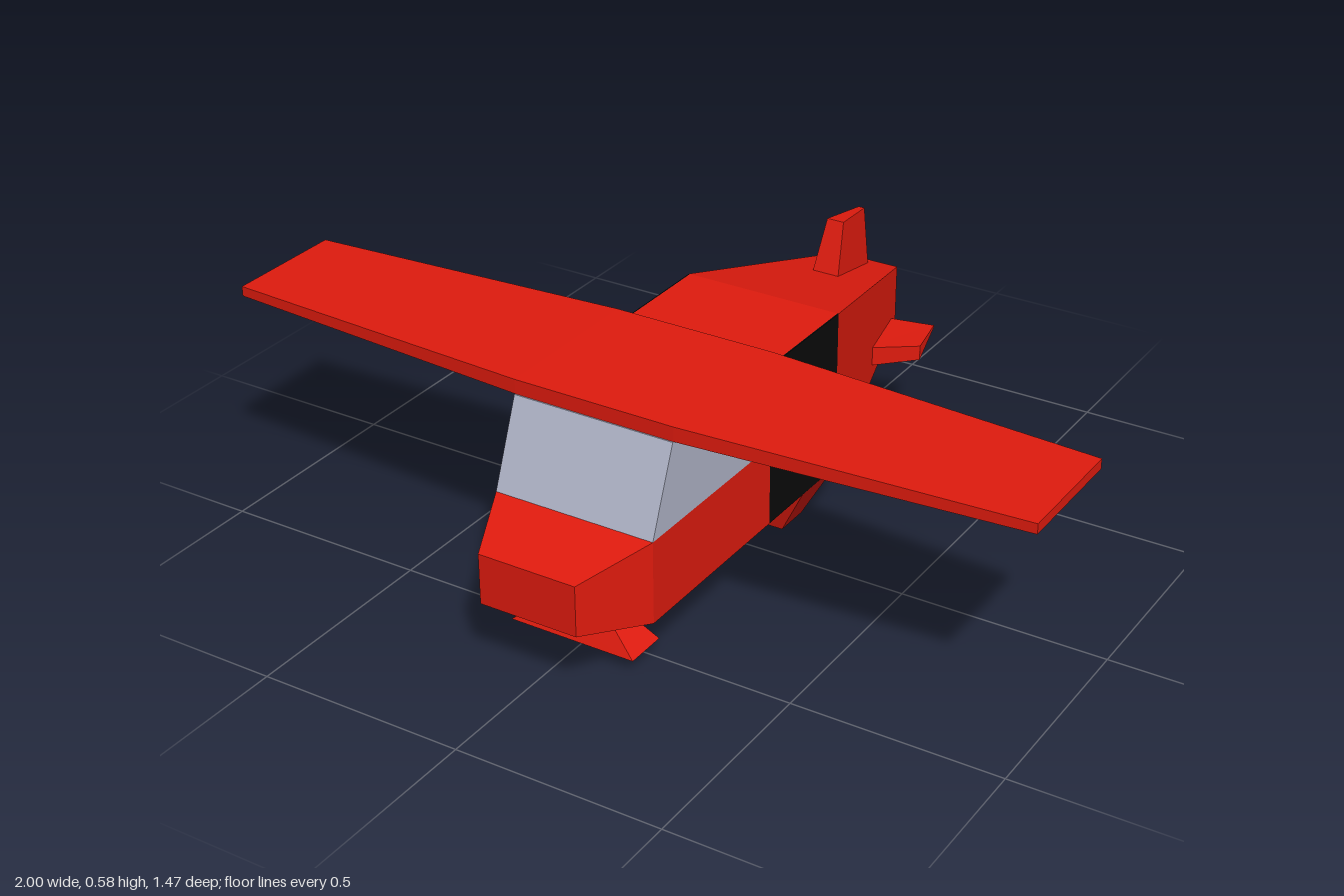
import * as THREE from 'three';

const red = new THREE.MeshStandardMaterial({ color: 0xe01b0e, flatShading: true });
const glass = new THREE.MeshStandardMaterial({ color: 0xb0b4c8, flatShading: true });
const black = new THREE.MeshStandardMaterial({ color: 0x0a0a0a, flatShading: true });

// Four corners of a rectangle, counterclockwise seen from +z, +y or +x.
const zRect = (z, x, y0, y1) => [[-x, y0, z], [x, y0, z], [x, y1, z], [-x, y1, z]];
const yRect = (y, x0, x1, z0, z1) => [[x0, y, z1], [x1, y, z1], [x1, y, z0], [x0, y, z0]];
const xRect = (x, y0, y1, z0, z1) => [[x, y0, z1], [x, y0, z0], [x, y1, z0], [x, y1, z1]];

// Solid block between two quads; the first faces the positive axis.
function block(a, b) {
  const p = [];
  const quad = (q, r, s, t) => p.push(...q, ...r, ...s, ...q, ...s, ...t);
  quad(...a);
  quad(b[3], b[2], b[1], b[0]);
  for (let i = 0; i < 4; i++) {
    const j = (i + 1) % 4;
    quad(a[i], b[i], b[j], a[j]);
  }
  const g = new THREE.BufferGeometry();
  g.setAttribute('position', new THREE.Float32BufferAttribute(p, 3));
  g.computeVertexNormals();
  return g;
}

export function createModel() {
  const model = new THREE.Group();
  model.name = 'airplane';
  const add = (name, geometry, material = red) => {
    const mesh = new THREE.Mesh(geometry, material);
    mesh.name = name;
    model.add(mesh);
    return mesh;
  };
  const addPair = (name, geometry, material) => {
    add(name + 'Left', geometry, material);
    add(name + 'Right', geometry, material).scale.x = -1;
  };

  // Fuselage from nose to tail
  add('nose', block(zRect(0.735, 0.122, 0.167, 0.29), zRect(0.56, 0.2, 0.13, 0.33)));
  add('lowerCabin', block(zRect(0.56, 0.2, 0.13, 0.33), zRect(0.08, 0.2, 0.13, 0.33)));
  add('canopy', block(yRect(0.53, -0.2, 0.2, 0.08, 0.48), yRect(0.33, -0.2, 0.2, 0.08, 0.56)), glass);
  add('midBody', block(zRect(0.08, 0.197, 0.13, 0.53), zRect(-0.22, 0.197, 0.13, 0.53)));
  addPair('sidePanel', block(xRect(0.2, 0.13, 0.53, -0.22, 0.08), xRect(0.197, 0.13, 0.53, -0.22, 0.08)), black);
  add('tail', block(zRect(-0.22, 0.2, 0.13, 0.53), zRect(-0.735, 0.08, 0.253, 0.41)));

  // High wing with tapered halves
  const root = xRect(0.2, 0.53, 0.565, 0.08, 0.477);
  add('wingCentre', block(root, xRect(-0.2, 0.53, 0.565, 0.08, 0.477)));
  addPair('wing', block(xRect(1, 0.536, 0.56, 0.127, 0.426), root));

  // Tail fin and wedge-shaped stabilizers
  add('tailFin', block(
    [[-0.022, 0.583, -0.56], [0.022, 0.583, -0.56], [0.008, 0.568, -0.69], [-0.008, 0.568, -0.69]],
    [[-0.035, 0.455, -0.515], [0.035, 0.455, -0.515], [0.015, 0.41, -0.705], [-0.015, 0.41, -0.705]]));
  addPair('stabilizer', block(
    [[0.222, 0.253, -0.595], [0.195, 0.28, -0.72], [0.195, 0.286, -0.72], [0.222, 0.29, -0.595]],
    [[0.11, 0.24, -0.515], [0.07, 0.276, -0.695], [0.07, 0.286, -0.695], [0.11, 0.29, -0.515]]));

  // Front strut with flared foot, tapered rear legs
  const ankle = yRect(0.08, -0.1, 0.1, 0.495, 0.56);
  add('frontStrut', block(yRect(0.13, -0.1, 0.1, 0.495, 0.56), ankle));
  add('frontFoot', block(ankle, yRect(0.03, -0.158, 0.158, 0.475, 0.58)));
  addPair('rearLeg', block(yRect(0.13, 0.06, 0.2, -0.22, -0.07), yRect(0, 0.07, 0.13, -0.19, -0.1)));

  return model;
}
